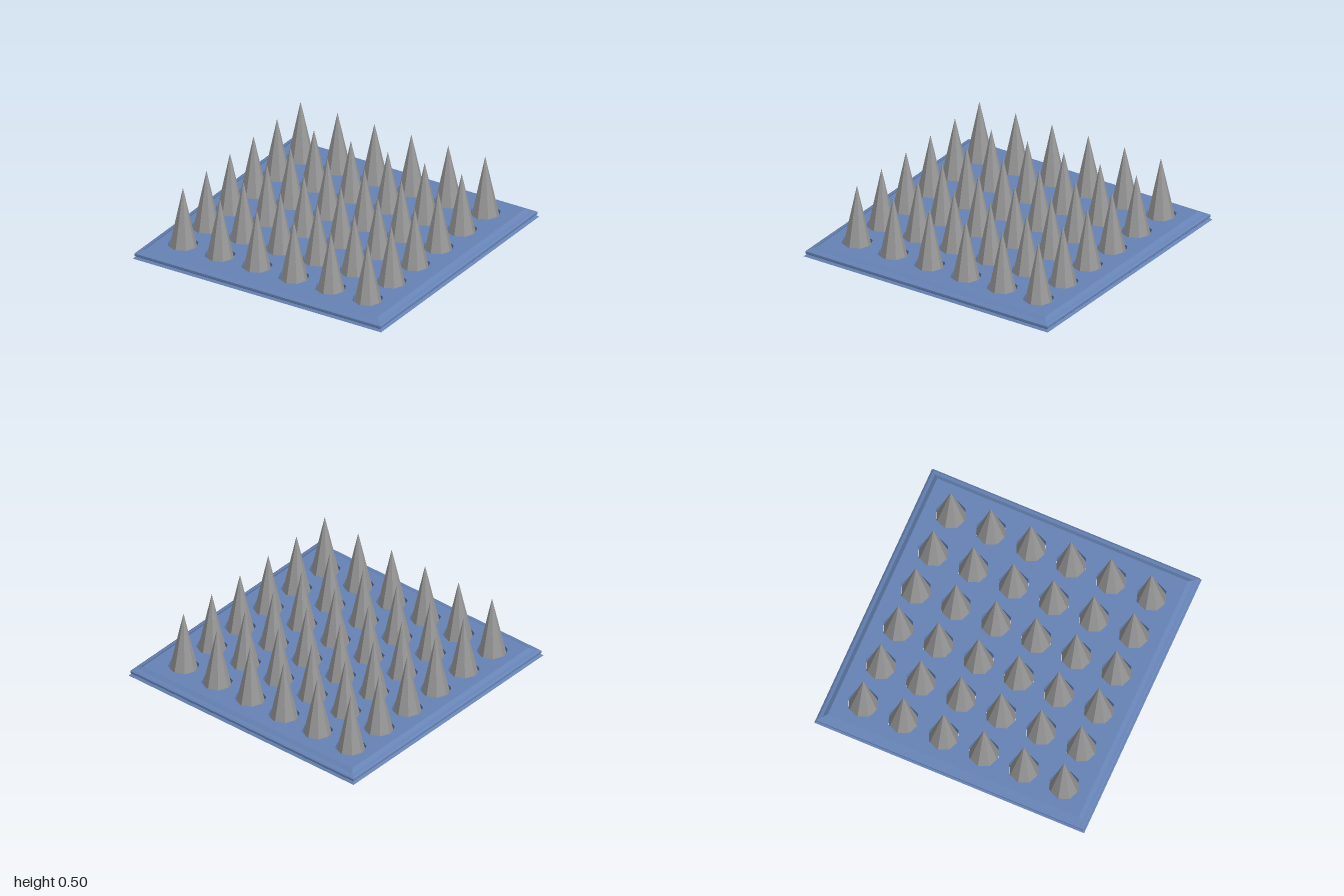
import * as THREE from 'three';

export function createModel() {
  const group = new THREE.Group();
  const blue = new THREE.MeshStandardMaterial({ color: 0x6683b5, flatShading: true, side: THREE.DoubleSide });
  blue.name = 'steel blue';
  const grey = new THREE.MeshStandardMaterial({ color: 0x999999, flatShading: true, side: THREE.DoubleSide });
  grey.name = 'grey';

  const add = (parent, name, geometry, material, x = 0, y = 0, z = 0) => {
    const mesh = new THREE.Mesh(geometry, material);
    mesh.name = name;
    mesh.position.set(x, y, z);
    parent.add(mesh);
    return mesh;
  };

  const top = 0.07, radius = 0.108, tip = 0.5, count = 6, step = 0.2975;
  const centres = [];
  for (let i = 0; i < count; i++)
    for (let j = 0; j < count; j++) centres.push([-0.758 + i * step, -0.742 + j * step]);

  // Stepped square rim: a four-sided lathe, open underneath
  const profile = [[1, 0], [0.985, 0.015], [0.992, 0.022], [0.992, 0.038], [0.98, 0.046], [0.958, 0.05], [0.93, top]];
  const rim = new THREE.LatheGeometry(profile.map(([r, y]) => new THREE.Vector2(r * Math.SQRT2, y)), 4);
  rim.rotateY(Math.PI / 4);
  add(group, 'baseRim', rim, blue);

  // Top sheet with an octagonal hole for each spike
  const s = 0.93;
  const sheet = new THREE.Shape([[-s, -s], [s, -s], [s, s], [-s, s]].map(([x, y]) => new THREE.Vector2(x, y)));
  for (const [x, z] of centres) {
    const points = [];
    for (let k = 0; k < 8; k++) {
      const a = -k * Math.PI / 4;
      points.push(new THREE.Vector2(x + radius * Math.cos(a), -z + radius * Math.sin(a)));
    }
    sheet.holes.push(new THREE.Path(points));
  }
  add(group, 'baseTop', new THREE.ShapeGeometry(sheet).rotateX(-Math.PI / 2), blue, 0, top);

  // Spikes rise from the bottom of the collars that line the holes
  const spikeGeometry = new THREE.ConeGeometry(radius - 0.001, tip, 8, 1, true);
  const collarGeometry = new THREE.CylinderGeometry(radius, radius, top, 8, 1, true);
  const spikes = new THREE.Group();
  spikes.name = 'spikes';
  const collars = new THREE.Group();
  collars.name = 'collars';
  group.add(spikes, collars);
  for (const [x, z] of centres) {
    add(spikes, 'spike', spikeGeometry, grey, x, tip / 2, z);
    add(collars, 'collar', collarGeometry, blue, x, top / 2, z);
  }
  return group;
}
